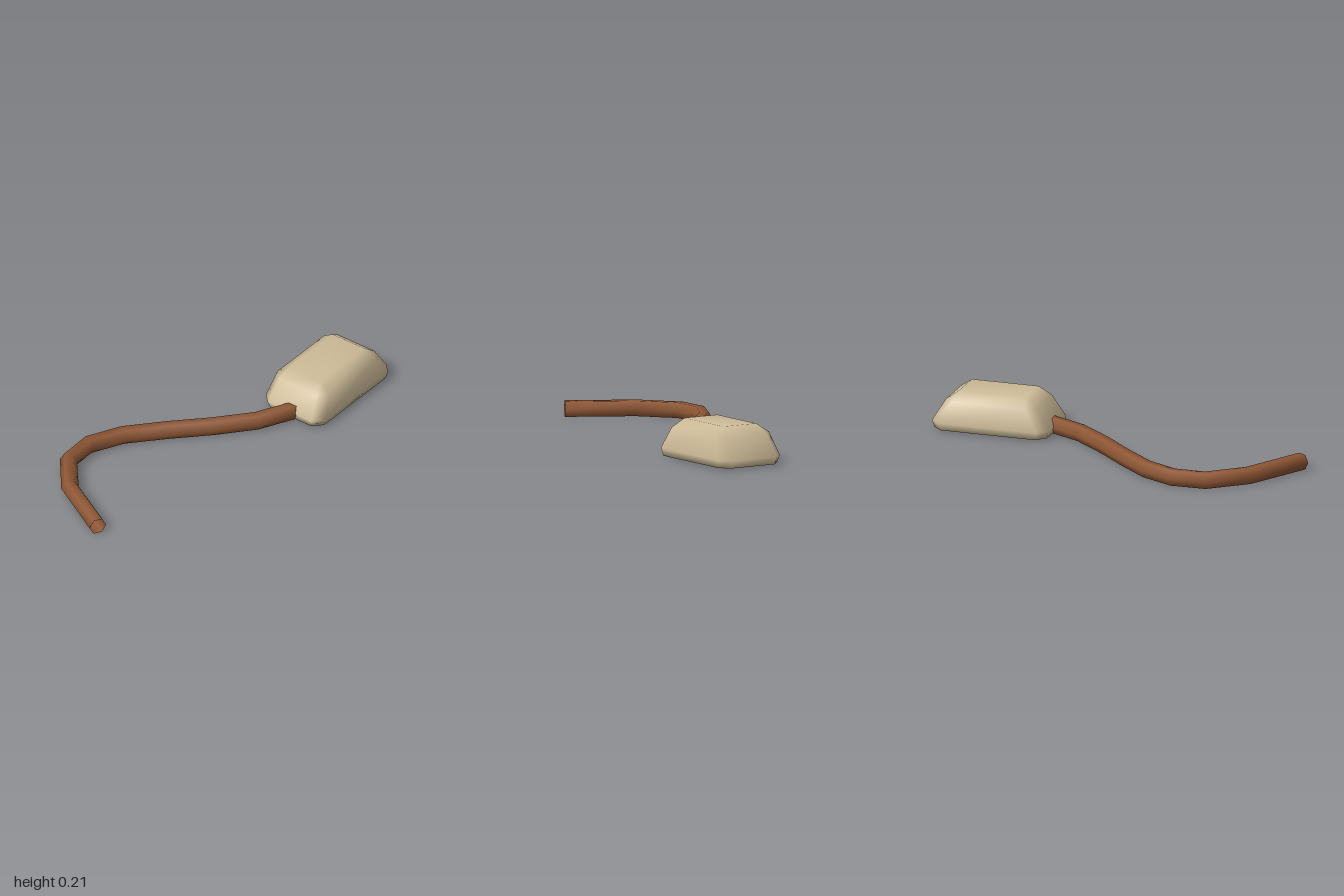
import * as THREE from 'three';
import { mergeVertices } from 'three/addons/utils/BufferGeometryUtils.js';

// Skins equal-sized rings of points into one smooth surface, optionally capped.
function skin(rings, outward, capped) {
  const n = rings[0].length, index = [];
  const tri = (a, b, c) => (outward ? index.push(a, b, c) : index.push(a, c, b));
  for (let i = 0; i < rings.length - 1; i++) {
    for (let j = 0; j < n; j++) {
      const a = i * n + j, b = i * n + (j + 1) % n;
      tri(a, b, a + n);
      tri(b, b + n, a + n);
    }
  }
  if (capped) {
    const top = (rings.length - 1) * n;
    for (let j = 1; j < n - 1; j++) {
      tri(0, j + 1, j);
      tri(top, top + j, top + j + 1);
    }
  }
  let g = new THREE.BufferGeometry();
  g.setAttribute('position', new THREE.Float32BufferAttribute(rings.flat(2), 3));
  g.setIndex(index);
  g = mergeVertices(g);
  g.computeVertexNormals();
  return g;
}

// Rectangle with cut corners at height y, half sizes a (length) and b (width).
function cutRectangle(y, a, b, c) {
  return [
    [a, y, c - b], [a, y, b - c], [a - c, y, b], [c - a, y, b],
    [-a, y, b - c], [-a, y, c - b], [c - a, y, -b], [a - c, y, -b],
  ];
}

export function createModel() {
  const beige = new THREE.MeshStandardMaterial({ color: 0xcdbb98 });
  beige.name = 'beige shell';
  const brown = new THREE.MeshStandardMaterial({ color: 0x8f5735, side: THREE.DoubleSide });
  brown.name = 'brown cord';

  const model = new THREE.Group();
  model.name = 'cordedMouse';

  // Bevelled body: base, widest line, shoulder, flat top
  const body = new THREE.Mesh(skin([
    cutRectangle(0.005, 0.318, 0.187, 0.05),
    cutRectangle(0.047, 0.33, 0.198, 0.05),
    cutRectangle(0.167, 0.256, 0.176, 0.05),
    cutRectangle(0.214, 0.189, 0.105, 0),
  ], false, true), beige);
  body.name = 'body';
  body.position.set(0.642, 0, -0.289);
  body.rotation.y = 0.616;
  model.add(body);

  // Six-sided open cord lying on the ground, path given as x, z
  const path = [
    [-0.917, 0.594], [-0.955, 0.21], [-0.89, -0.027], [-0.743, -0.136], [-0.543, -0.166],
    [-0.305, -0.139], [-0.06, -0.1], [0.182, -0.078], [0.4, -0.11], [0.48, -0.165],
  ].map(([x, z]) => new THREE.Vector3(x, 0.0416, z));
  const radius = 0.048, sides = 6;
  const rings = path.map((p, i) => {
    const before = p.clone().sub(path[Math.max(i - 1, 0)]).normalize();
    const after = path[Math.min(i + 1, path.length - 1)].clone().sub(p).normalize();
    const t = before.add(after).normalize();
    return Array.from({ length: sides }, (_, j) => {
      const angle = (j / sides) * Math.PI * 2;
      const s = Math.cos(angle) * radius;
      return [p.x + t.z * s, p.y + Math.sin(angle) * radius, p.z - t.x * s];
    });
  });
  const cord = new THREE.Mesh(skin(rings, true, false), brown);
  cord.name = 'cord';
  model.add(cord);

  return model;
}
